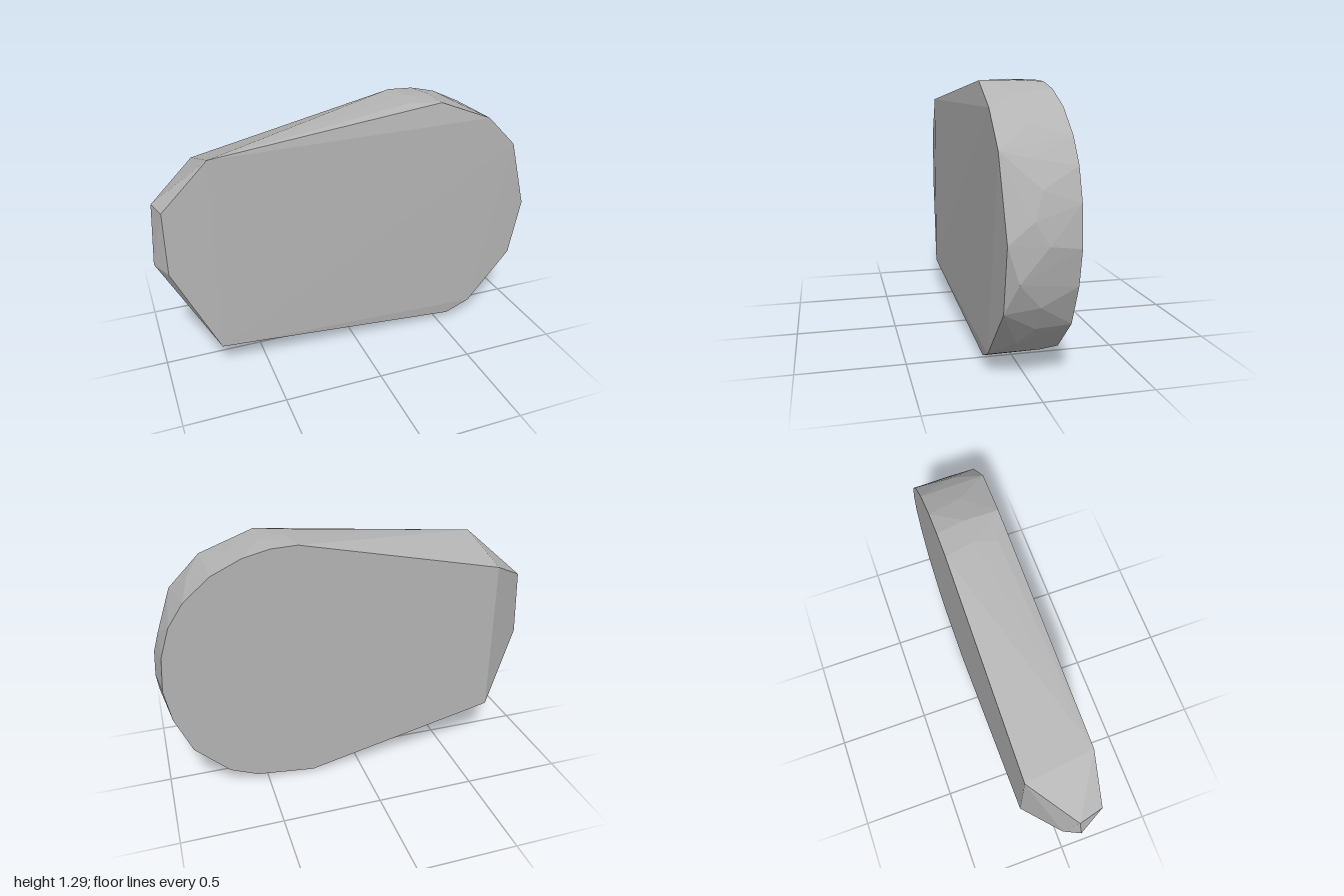
import * as THREE from 'three';
import { ConvexGeometry } from 'three/addons/geometries/ConvexGeometry.js';

// Faceted slab: the hull of a front outline, a back outline, a rim and a wedge tip.
const frontOutline = [
  [-0.72, 1.155, 0.16], [0.45, 1.285, 0.145], [0.72, 1.18, 0.162], [0.88, 1.02, 0.162],
  [0.985, 0.66, 0.15], [0.93, 0.36, 0.15], [0.69, 0.095, 0.16], [0.56, 0.035, 0.152],
  [-0.73, 0.145, 0.162], [-0.945, 0.92, 0.14], [-0.945, 0.6, 0.14],
];
const backOutline = [
  [-0.745, 1.053], [0.3, 1.285], [0.43, 1.28], [0.56, 1.25], [0.71, 1.18], [0.84, 1.07],
  [0.917, 0.957], [0.965, 0.81], [0.98, 0.63], [0.95, 0.465], [0.87, 0.275], [0.7, 0.11],
  [0.56, 0.05], [0.26, 0.015], [-0.745, 0.24],
];
// Slightly bulging rim between the two faces
const rim = [
  [0.3, 1.283, 0.09], [0.33, 1.29, -0.02], [0.45, 1.287, -0.02], [0.6, 1.235, 0.0],
  [0.8, 1.12, 0.02], [0.9, 0.99, 0.04], [0.96, 0.87, 0.0], [0.99, 0.75, 0.04],
  [1.0, 0.65, -0.02], [0.99, 0.5, 0.1], [0.95, 0.385, 0.0], [0.88, 0.27, 0.0],
  [0.8, 0.18, 0.06], [0.69, 0.095, -0.08], [0.45, 0.012, -0.02], [0.36, 0, 0.03],
  [0.3, 0.002, -0.14],
];
// Narrow wedge at the pointed end
const tip = [[-0.975, 0.92, 0.02], [-1, 0.62, 0.05], [-0.96, 0.6, -0.03]];

export function createModel() {
  const group = new THREE.Group();
  group.name = 'facetedSlab';

  const stone = new THREE.MeshStandardMaterial({ color: 0xb4b4b4 });
  stone.name = 'stone grey';

  const points = [
    ...frontOutline,
    ...backOutline.map(([x, y]) => [x, y, -0.163]),
    ...rim,
    ...tip,
  ].map((p) => new THREE.Vector3(...p));

  const slab = new THREE.Mesh(new ConvexGeometry(points), stone);
  slab.name = 'slab';
  group.add(slab);
  return group;
}
